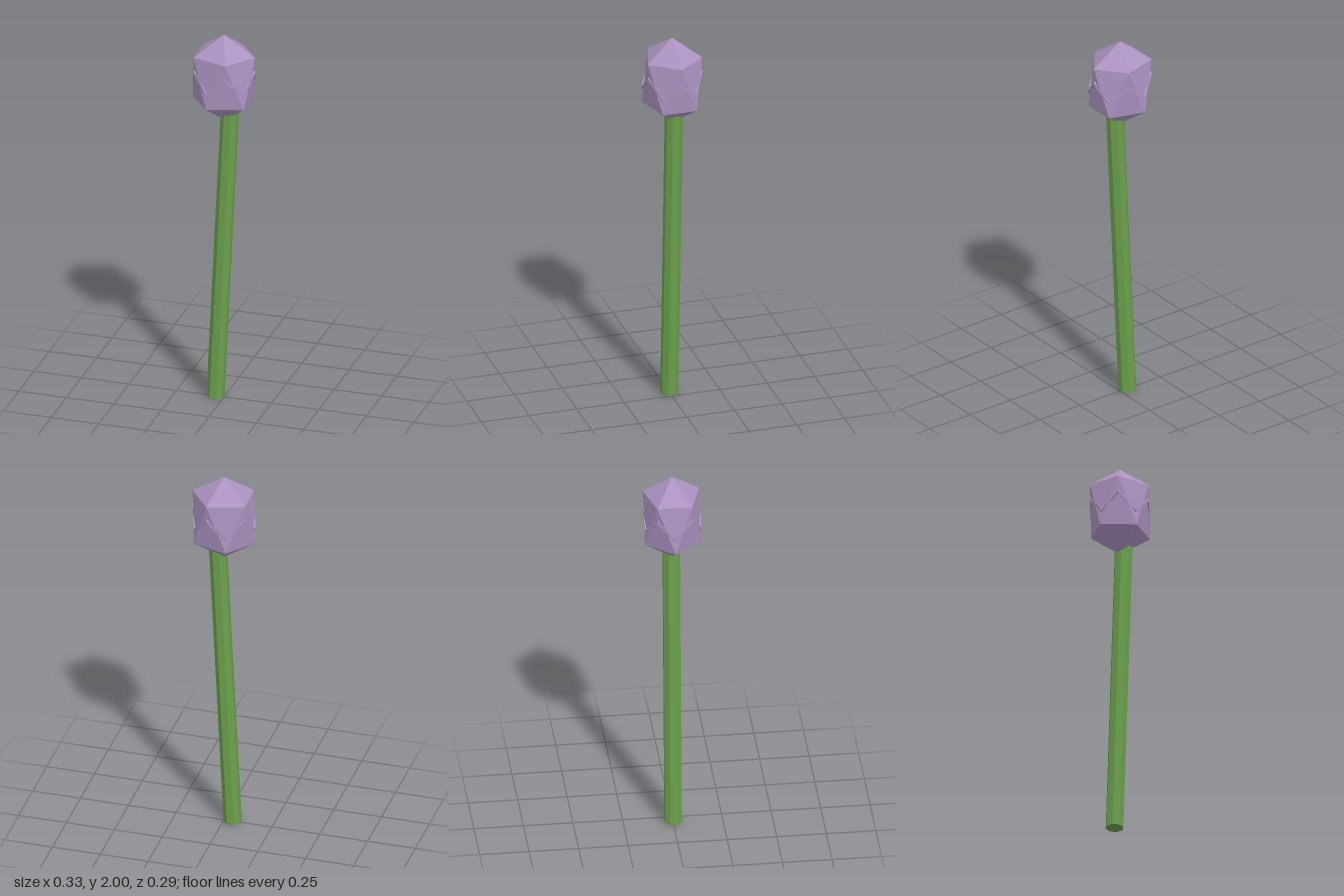
import * as THREE from 'three';

// Point on a slightly flattened five-fold ring; step is counted in tenths of a turn
function ringPoint(step, y, scale = 1) {
  const a = (step * Math.PI) / 5;
  return [0.164 * scale * Math.cos(a), y, 0.15 * scale * Math.sin(a)];
}

// Unindexed faceted geometry from triangles and quads
function faceted(faces) {
  const pos = [];
  for (const f of faces) {
    for (let i = 1; i < f.length - 1; i++) pos.push(...f[0], ...f[i], ...f[i + 1]);
  }
  const g = new THREE.BufferGeometry();
  g.setAttribute('position', new THREE.Float32BufferAttribute(pos, 3));
  g.computeVertexNormals();
  return g;
}

// Stretched twenty-sided bud
function budGeometry() {
  const apex = [0, 2, 0], base = [0, 1.533, 0], faces = [];
  for (let k = 0; k < 10; k += 2) {
    const u0 = ringPoint(k, 1.894), u1 = ringPoint(k + 2, 1.894);
    const l0 = ringPoint(k + 1, 1.64), l1 = ringPoint(k + 3, 1.64);
    faces.push([apex, u1, u0], [u0, u1, l0], [u1, l1, l0], [l0, l1, base]);
  }
  return faceted(faces);
}

// Thin zigzag ridge running round the bud, peaks below the upper corners
function ridgeGeometry() {
  const faces = [], half = 0.009;
  const corner = (i, side, scale) => ringPoint(i, (i % 2 ? 1.719 : 1.813) + side * half, scale);
  for (let i = 0; i < 10; i++) {
    const j = i + 1, out = 1.005, inn = 0.85;
    const tr = corner(i, 1, out), tl = corner(j, 1, out);
    const br = corner(i, -1, out), bl = corner(j, -1, out);
    faces.push([tr, tl, bl, br]);
    faces.push([corner(i, 1, inn), corner(j, 1, inn), tl, tr]);
    faces.push([br, bl, corner(j, -1, inn), corner(i, -1, inn)]);
  }
  return faceted(faces);
}

export function createModel() {
  const purple = new THREE.MeshStandardMaterial({ color: 0xab92c0 });
  const green = new THREE.MeshStandardMaterial({ color: 0x6b9f4c });
  purple.name = 'budPurple';
  green.name = 'stemGreen';

  const model = new THREE.Group();
  model.name = 'flowerBud';
  const add = (name, geometry, material) => {
    const mesh = new THREE.Mesh(geometry, material);
    mesh.name = name;
    model.add(mesh);
    return mesh;
  };

  add('bud', budGeometry(), purple);
  add('zigzagRidge', ridgeGeometry(), purple);

  // Leaning eight-sided stem
  const length = 1.605, lean = 0.048;
  const stemGeometry = new THREE.CylinderGeometry(0.046, 0.046, length, 8, 1, false, Math.PI / 8)
    .toNonIndexed();
  stemGeometry.computeVertexNormals();
  stemGeometry.translate(0, length / 2, 0);
  const stem = add('stem', stemGeometry, green);
  stem.position.set(-0.045, 0.0025, 0);
  stem.rotation.z = -lean;

  return model;
}
